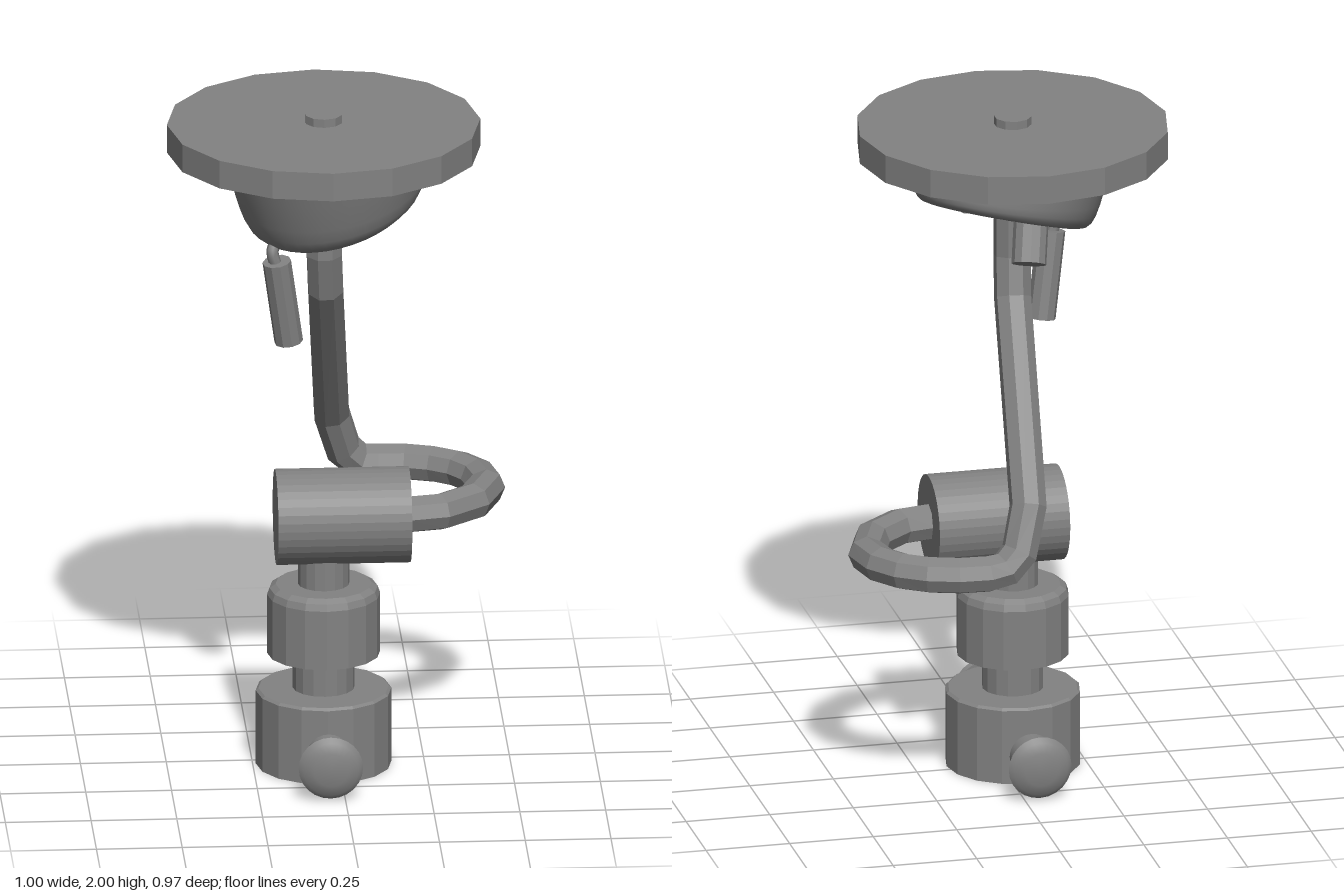
import * as THREE from 'three';
import { toCreasedNormals } from 'three/addons/utils/BufferGeometryUtils.js';

const CX = -0.043, CZ = 0.028; // main vertical axis
const flat = new THREE.MeshStandardMaterial({ color: 0x828282, flatShading: true });
const smooth = new THREE.MeshStandardMaterial({ color: 0x828282 });
const v = (x, y, z) => new THREE.Vector3(x, y, z);
const UP = v(0, 1, 0);

function add(parent, name, geometry, material = flat) {
  const mesh = new THREE.Mesh(geometry, material);
  mesh.name = name;
  parent.add(mesh);
  return mesh;
}

function lathe(profile, sides) {
  return new THREE.LatheGeometry(profile.map(([r, y]) => new THREE.Vector2(r, y)), sides);
}

// straight round bar between two points
function rod(parent, name, a, b, r, sides) {
  const dir = b.clone().sub(a);
  const mesh = add(parent, name, new THREE.CylinderGeometry(r, r, dir.length(), sides));
  mesh.position.copy(a).add(b).multiplyScalar(0.5);
  mesh.quaternion.setFromUnitVectors(UP, dir.normalize());
}

// curve that keeps every given point as a ring of the tube
class BentPath extends THREE.Curve {
  constructor(points) { super(); this.points = points; }
  getPoint(t, target = new THREE.Vector3()) {
    const n = this.points.length - 1, s = t * n, i = Math.min(n - 1, Math.floor(s));
    return target.lerpVectors(this.points[i], this.points[i + 1], s - i);
  }
  getPointAt(t, target) { return this.getPoint(t, target); }
  getTangentAt(t, target = new THREE.Vector3()) {
    const n = this.points.length - 1, i = Math.round(t * n);
    const p = this.points[i], before = this.points[Math.max(0, i - 1)], after = this.points[Math.min(n, i + 1)];
    const d1 = p.clone().sub(before).normalize(), d2 = after.clone().sub(p).normalize();
    return target.addVectors(d1, d2).normalize();
  }
}

// shear an upright cup (y from 0 to -1) so that its lower face is tilted
function tiltCup(geometry) {
  const p = geometry.attributes.position;
  for (let i = 0; i < p.count; i++) {
    const x = p.getX(i), z = p.getZ(i), t = -p.getY(i);
    const faceY = 1.708 + 0.35 * (x - z) / Math.SQRT2;
    p.setXYZ(i, CX + 0.036 * t + x, 1.89 + (faceY - 1.89) * t, CZ - 0.036 * t + z);
  }
  geometry.computeVertexNormals();
  return toCreasedNormals(geometry, 0.6);
}

export function createModel() {
  const model = new THREE.Group();
  model.name = 'wallFixture';

  // base, necks and collar, stacked on the main axis
  const column = new THREE.Group();
  column.name = 'column';
  column.position.set(CX, 0, CZ);
  model.add(column);
  add(column, 'base', lathe([[0, 0], [0.198, 0], [0.198, 0.225], [0.19, 0.232], [0, 0.232]], 16));
  add(column, 'lowerNeck', lathe([[0.09, 0.22], [0.09, 0.36]], 16));
  add(column, 'collar', lathe([[0, 0.34], [0.165, 0.34], [0.165, 0.52], [0.158, 0.54], [0.14, 0.552], [0, 0.552]], 16));
  add(column, 'upperNeck', lathe([[0.075, 0.54], [0.075, 0.68]], 16));

  // mushroom knobs, front and back of the base
  const knob = toCreasedNormals(lathe([
    [0.045, 0.15], [0.045, 0.235], [0.065, 0.235], [0.065, 0.333], [0.088, 0.333],
    [0.094, 0.345], [0.08, 0.358], [0.05, 0.367], [0, 0.371],
  ], 24), 0.6);
  for (const side of [1, -1]) {
    const mesh = add(column, side > 0 ? 'frontKnob' : 'backKnob', knob, smooth);
    mesh.position.y = 0.102;
    mesh.rotation.x = side * Math.PI / 2;
  }

  // horizontal barrel
  rod(model, 'barrel', v(-0.183, 0.76, 0.032), v(0.207, 0.76, 0.032), 0.14, 36);

  // bent pipe: curls round behind, then rises into the cup
  const path = [
    [0.1, 0.76, 0.035], [0.2, 0.76, 0.035], [0.3, 0.76, 0.015], [0.4, 0.76, -0.07],
    [0.445, 0.76, -0.19], [0.425, 0.76, -0.285], [0.375, 0.76, -0.355], [0.305, 0.76, -0.402],
    [0.225, 0.76, -0.428], [0.14, 0.76, -0.433], [0.085, 0.768, -0.426], [0.042, 0.81, -0.412],
    [0.005, 0.935, -0.367], [-0.035, 1.45, -0.005], [-0.041, 1.57, 0.028], [-0.041, 1.86, 0.03],
  ].map(p => v(...p));
  add(model, 'pipe', new THREE.TubeGeometry(new BentPath(path), path.length - 1, 0.055, 8));

  // top plate and its stud
  const plate = add(model, 'topPlate', new THREE.CylinderGeometry(0.457, 0.457, 0.085, 16));
  plate.position.set(CX, 1.9325, CZ);
  const stud = add(model, 'topStud', new THREE.CylinderGeometry(0.055, 0.055, 0.04, 10));
  stud.position.set(CX, 1.98, CZ);

  // tilted cup: wall with rounded rim
  add(model, 'cupWall', tiltCup(lathe([
    [0.224, -1], [0.24, -0.975], [0.254, -0.91], [0.264, -0.81], [0.273, -0.65], [0.286, -0.32], [0.298, 0],
  ], 40)), smooth);

  // cup face, pierced by four large and four small holes
  const face = new THREE.Shape().absarc(0, 0, 0.225, 0, Math.PI * 2);
  const holeAt = (degrees, dist) => {
    const a = (225 + degrees) * Math.PI / 180;
    return [dist * Math.cos(a), dist * Math.sin(a)];
  };
  for (let i = 0; i < 4; i++) {
    for (const [turn, dist, r] of [[15, 0.14, 0.08], [60, 0.182, 0.022]]) {
      const [x, z] = holeAt(turn + i * 90, dist);
      face.holes.push(new THREE.Path().absarc(x, z, r, 0, Math.PI * 2, true));
    }
  }
  const faceBlock = new THREE.ExtrudeGeometry(face, { depth: 1, bevelEnabled: false, curveSegments: 20 });
  add(model, 'cupFace', tiltCup(faceBlock.rotateX(Math.PI / 2)), smooth);

  // lamp plug and small pin standing in two of the holes
  rod(model, 'plug', v(-0.07, 1.85, -0.115), v(-0.032, 1.63, -0.222), 0.051, 12);
  const [px, pz] = holeAt(105, 0.14);
  rod(model, 'pin', v(px, 1.89, pz), v(px, 1.75, pz), 0.012, 8);

  // hanging pull with its cord
  const cord = new THREE.CatmullRomCurve3([v(-0.2, 1.7, 0.135), v(-0.19, 1.65, 0.135), v(-0.2, 1.62, 0.15), v(-0.188, 1.575, 0.15)]);
  add(model, 'pullCord', new THREE.TubeGeometry(cord, 8, 0.018, 8), smooth);
  rod(model, 'pullHandle', v(-0.187, 1.59, 0.15), v(-0.15, 1.332, 0.118), 0.042, 10);

  return model;
}
